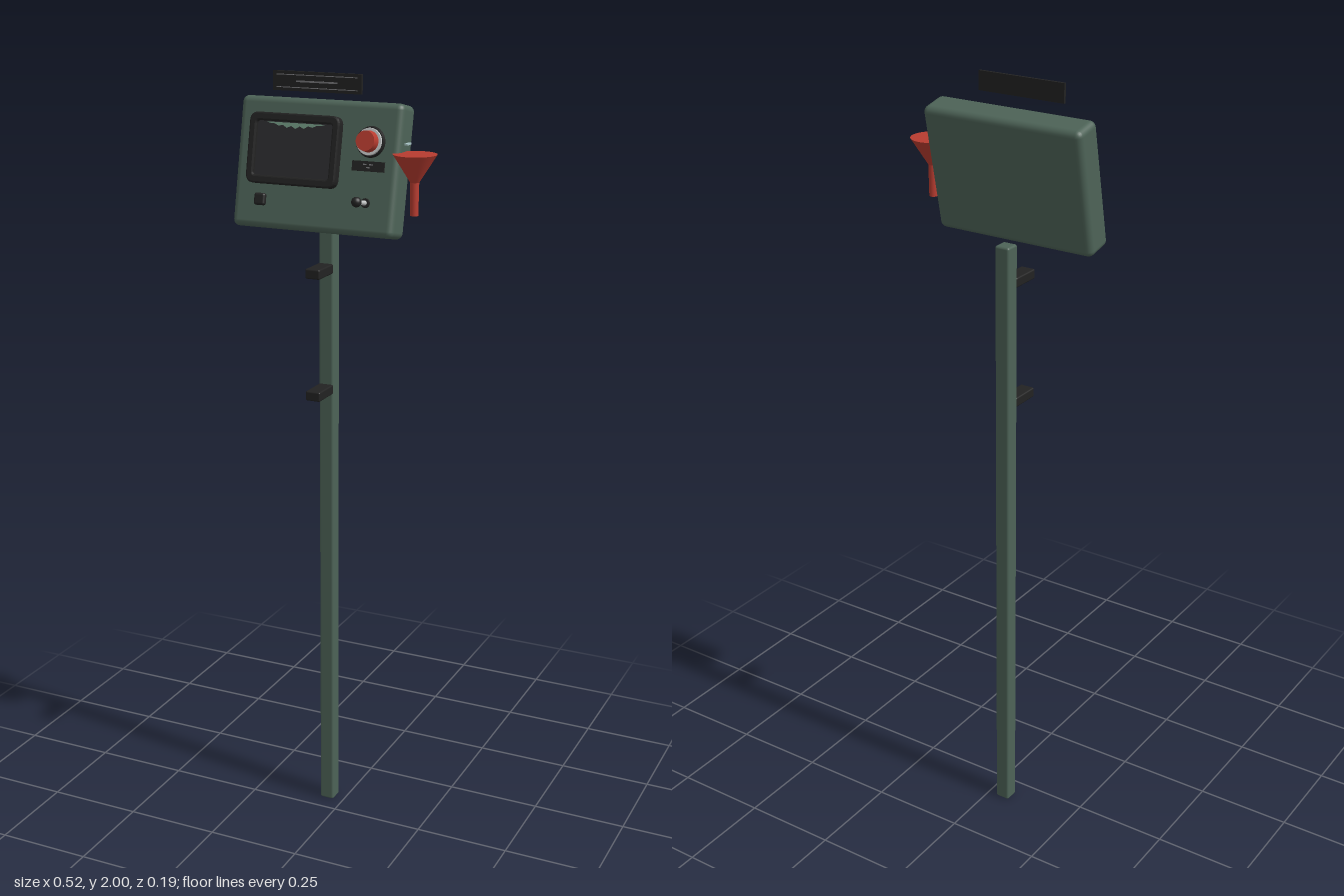
import * as THREE from 'three';
import { RoundedBoxGeometry } from 'three/addons/geometries/RoundedBoxGeometry.js';

const mat = (name, color) => {
  const m = new THREE.MeshStandardMaterial({ color });
  m.name = name;
  return m;
};

export function createModel() {
  const green = mat('enamel green', 0x4d6357);
  const black = mat('black', 0x222222);
  const glass = mat('screen grey', 0x2c2c2e);
  const red = mat('red', 0xb83c30);
  const metal = mat('light metal', 0xc4c6c6);
  const trace = mat('trace green', 0x6f9480);
  const pale = mat('pale blue', 0xa9c4c6);
  const grey = mat('mid grey', 0x77777a);

  const root = new THREE.Group();
  root.name = 'controlPost';

  const add = (parent, name, geometry, material, x = 0, y = 0, z = 0) => {
    const m = new THREE.Mesh(geometry, material);
    m.name = name;
    m.position.set(x, y, z);
    parent.add(m);
    return m;
  };
  const box = (w, h, d) => new THREE.BoxGeometry(w, h, d);
  const rbox = (w, h, d, r) => new RoundedBoxGeometry(w, h, d, 3, r);
  // Cylinder whose axis points out of the panel
  const disc = (r1, r2, d, n = 32) => new THREE.CylinderGeometry(r1, r2, d, n).rotateX(Math.PI / 2);
  const roundRect = (C, w, h, r) => {
    const s = new C(), x = w / 2, y = h / 2;
    s.moveTo(-x + r, -y);
    s.lineTo(x - r, -y).quadraticCurveTo(x, -y, x, -y + r);
    s.lineTo(x, y - r).quadraticCurveTo(x, y, x - r, y);
    s.lineTo(-x + r, y).quadraticCurveTo(-x, y, -x, y - r);
    s.lineTo(-x, -y + r).quadraticCurveTo(-x, -y, -x + r, -y);
    return s;
  };

  // Post and its two brackets
  const cx = -0.046;
  add(root, 'post', rbox(0.04, 1.612, 0.04, 0.006), green, cx, 0.806, -0.064);
  for (const y of [1.199, 1.514]) {
    add(root, 'bracket', rbox(0.04, 0.025, 0.082, 0.004), black, cx, y, -0.006);
  }

  // Tilted console
  const panel = new THREE.Group();
  panel.name = 'console';
  panel.position.set(cx, 1.771, -0.0255);
  panel.rotation.x = -0.21;
  root.add(panel);
  add(panel, 'housing', rbox(0.434, 0.32, 0.08, 0.016), green);

  // Screen bezel, recessed glass and the trace along its top
  const frame = roundRect(THREE.Shape, 0.234, 0.164, 0.018);
  frame.holes.push(roundRect(THREE.Path, 0.212, 0.14, 0.012));
  const frameGeo = new THREE.ExtrudeGeometry(frame, {
    depth: 0.02, bevelThickness: 0.004, bevelSize: 0.004, bevelSegments: 2, curveSegments: 6,
  });
  const sx = -0.056, sy = 0.033;
  add(panel, 'screenBezel', frameGeo, black, sx, sy, 0.04);
  add(panel, 'screen', box(0.216, 0.146, 0.014), glass, sx, sy, 0.046);
  const jag = new THREE.Shape();
  jag.moveTo(-0.08, 0);
  for (let i = 1; i < 14; i++) {
    const t = i / 14;
    jag.lineTo(-0.08 + 0.16 * t, -0.014 * Math.sin(Math.PI * t) * (i % 2 ? 1 : 0.55));
  }
  jag.lineTo(0.08, 0);
  jag.closePath();
  add(panel, 'screenTrace', new THREE.ShapeGeometry(jag), trace, sx, sy + 0.064, 0.0536);

  // Large push button
  const bx = 0.141, by = 0.065;
  add(panel, 'buttonBase', disc(0.035, 0.038, 0.01), black, bx, by, 0.044);
  add(panel, 'buttonRing', disc(0.032, 0.033, 0.006), metal, bx, by, 0.051);
  add(panel, 'buttonCap', disc(0.024, 0.026, 0.024), red, bx, by, 0.064);

  // Label plate with a few pale marks
  add(panel, 'labelPlate', box(0.084, 0.024, 0.006), black, bx, 0.007, 0.042);
  for (const [dx, dy] of [[-0.008, 0.004], [0.008, 0.004], [0, -0.003]]) {
    add(panel, 'labelMark', box(0.009, 0.003, 0.002), grey, bx + dx, 0.007 + dy, 0.0455);
  }

  // Lever
  add(panel, 'leverBase', disc(0.011, 0.012, 0.006), black, bx, -0.08, 0.042);
  add(panel, 'leverStick', disc(0.005, 0.006, 0.054, 20), metal, bx, -0.08, 0.066);
  add(panel, 'leverKnob', new THREE.SphereGeometry(0.0125, 24, 16), black, bx, -0.08, 0.094);

  // Small square knob
  add(panel, 'smallKnob', rbox(0.03, 0.03, 0.016, 0.006), black, -0.141, -0.091, 0.043);

  // Sign floating above the console
  add(root, 'sign', box(0.235, 0.047, 0.007), black, cx, 1.9765, 0.0005);
  for (const dy of [-0.015, 0.015]) {
    add(root, 'signLine', box(0.215, 0.002, 0.001), grey, cx, 1.9765 + dy, 0.0043);
  }
  add(root, 'signBar', box(0.11, 0.004, 0.001), grey, cx, 1.9765, 0.0043);

  // Funnel beside the console
  const fx = 0.208, fz = -0.004;
  add(root, 'funnelCone', new THREE.CylinderGeometry(0.0535, 0.011, 0.067, 40), red, fx, 1.787, fz);
  add(root, 'funnelSpout', new THREE.CylinderGeometry(0.011, 0.01, 0.082, 24), red, fx, 1.715, fz);
  add(root, 'funnelTag', box(0.008, 0.004, 0.026), pale, 0.186, 1.842, -0.012);

  return root;
}
